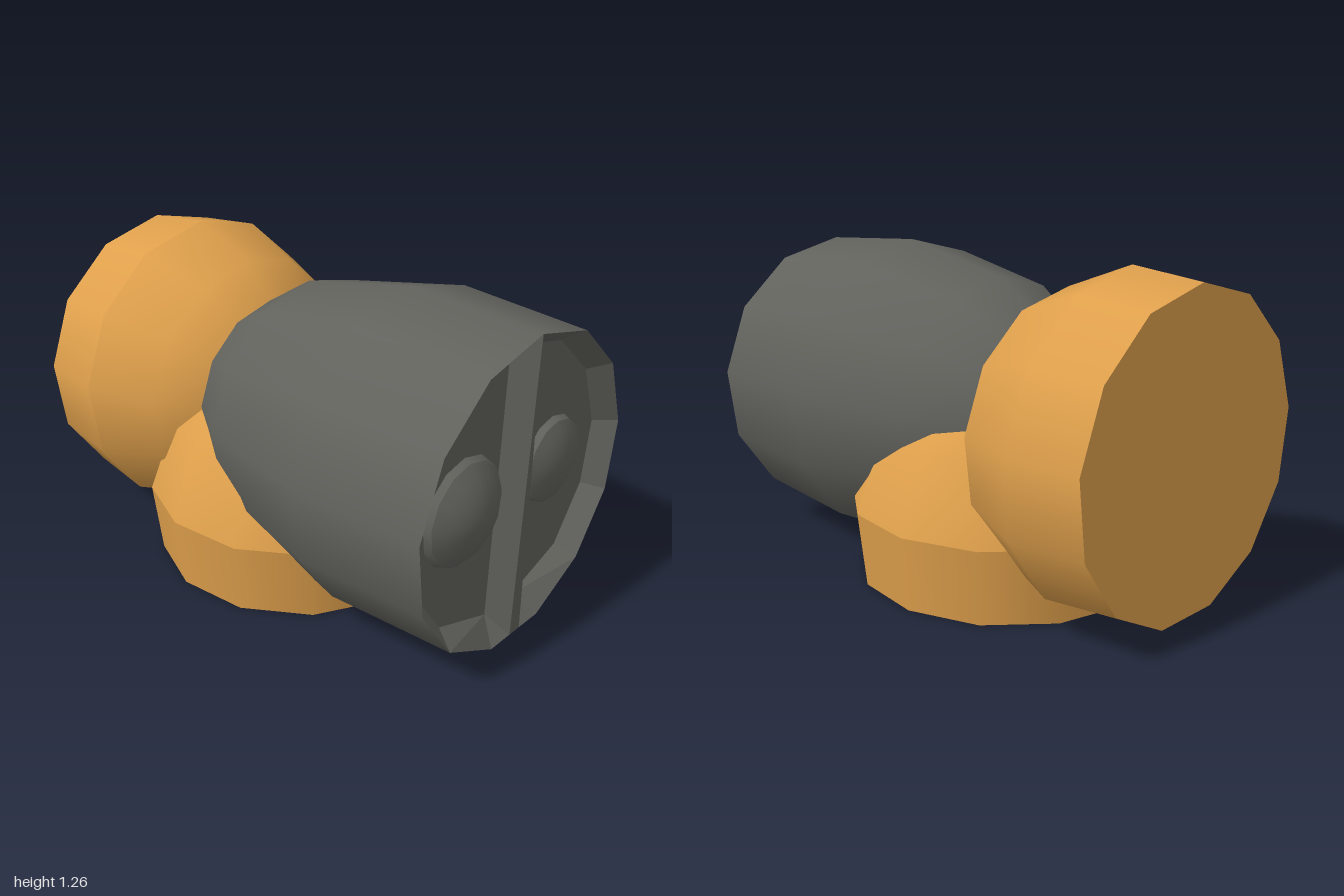
import * as THREE from 'three';

const SIDES = 13;
const CY = 0.633; // height of the barrel axis
const FRONT = 0.98, RECESS = 0.9;

const grey = new THREE.MeshStandardMaterial({ color: 0x62625d });
grey.name = 'dark grey';
const orange = new THREE.MeshStandardMaterial({ color: 0xdfa04c });
orange.name = 'orange';

function add(parent, name, geometry, material) {
  const mesh = new THREE.Mesh(geometry, material);
  mesh.name = name;
  parent.add(mesh);
  return mesh;
}

// Thirteen-sided turned surface; profile is [radius, position along the axis]
function turned(profile, alongZ) {
  const points = profile.map(([r, h]) => new THREE.Vector2(r, h));
  const geometry = new THREE.LatheGeometry(points, SIDES, Math.PI);
  if (alongZ) geometry.rotateX(Math.PI / 2);
  return geometry;
}

// Corner k of the regular outline, counted from the top
function corner(r, k) {
  const a = (k * Math.PI * 2) / SIDES;
  return [r * Math.sin(a), CY + r * Math.cos(a)];
}

// Half of the recessed front: bevelled rim, divider flank and flat panel
function addFaceHalf(parent, s) {
  const rim = [[0, 1.234]], inner = [[0.06, 1.16]];
  for (let k = 1; k <= 6; k++) rim.push(corner(0.601, k));
  for (let k = 1; k <= 5; k++) inner.push(corner(0.544, k));
  rim.push([0.03, 0.05]);
  const foot = [0.085, 0.13];
  inner.push(foot, foot);

  const positions = [];
  const tri = (...c) => {
    if (s < 0) c.reverse();
    for (const [p, z] of c) positions.push(s * p[0], p[1], z);
  };
  for (let i = 0; i < rim.length; i++) {
    const j = (i + 1) % rim.length;
    const a = [rim[i], FRONT], b = [inner[i], RECESS];
    const c = [inner[j], RECESS], d = [rim[j], FRONT];
    if (inner[i] !== inner[j]) tri(a, b, c);
    tri(a, c, d);
  }
  const bevel = new THREE.BufferGeometry();
  bevel.setAttribute('position', new THREE.Float32BufferAttribute(positions, 3));
  bevel.computeVertexNormals();
  const side = s > 0 ? 'left' : 'right';
  add(parent, side + 'RimBevel', bevel, grey);

  const shape = new THREE.Shape(inner.slice(0, -1).map(([x, y]) => new THREE.Vector2(s * x, y)));
  add(parent, side + 'Panel', new THREE.ShapeGeometry(shape), grey).position.z = RECESS;
}

// Shallow dome with a steep edge, set on the panel
function addDome(parent, name, x, y, r, tip) {
  const group = new THREE.Group();
  group.name = name;
  group.position.set(x, y, RECESS);
  const lip = 0.025, h = tip - RECESS - lip;
  add(group, 'domeEdge', turned([[r, 0], [r * 0.94, lip]], true), grey);
  const cap = [];
  for (let i = 0; i <= 5; i++) {
    const t = i / 5;
    cap.push([r * 0.94 * (1 - t), lip + h * (1 - (1 - t) ** 2)]);
  }
  add(group, 'domeCap', turned(cap, true), grey);
  parent.add(group);
}

export function createModel() {
  const model = new THREE.Group();
  model.name = 'model';

  // Long front barrel, narrowing to the neck
  const barrel = turned([[0.385, -0.297], [0.527, -0.07], [0.632, 0.45], [0.601, FRONT]], true);
  add(model, 'barrel', barrel, grey).position.y = CY;

  // Recessed front with a tapering central divider
  const face = new THREE.Group();
  face.name = 'frontFace';
  for (const s of [1, -1]) addFaceHalf(face, s);
  const strip = new THREE.Shape([[0, 1.234], [-0.03, 0.05], [0.03, 0.05]].map((p) => new THREE.Vector2(...p)));
  add(face, 'dividerEdge', new THREE.ShapeGeometry(strip), grey).position.z = FRONT;
  addDome(face, 'rightDome', -0.275, 0.655, 0.205, 1.0);
  addDome(face, 'leftDome', 0.25, 0.65, 0.172, 0.97);
  model.add(face);

  // Rear drum and standing foot share one stubby profile
  function addStub(name, alongZ, x, y, z) {
    const group = new THREE.Group();
    group.name = name;
    group.position.set(x, y, z);
    add(group, 'endCap', turned([[0, 0], [0.601, 0]], alongZ), orange);
    add(group, 'band', turned([[0.601, 0], [0.632, 0.293]], alongZ), orange);
    add(group, 'shoulder', turned([[0.632, 0.293], [0.527, 0.58], [0.385, 0.705]], alongZ), orange);
    add(group, 'neckCap', turned([[0.385, 0.705], [0, 0.705]], alongZ), orange);
    model.add(group);
  }
  addStub('rearDrum', true, 0, CY, -1);
  addStub('foot', false, 0, 0, -0.12);

  return model;
}
